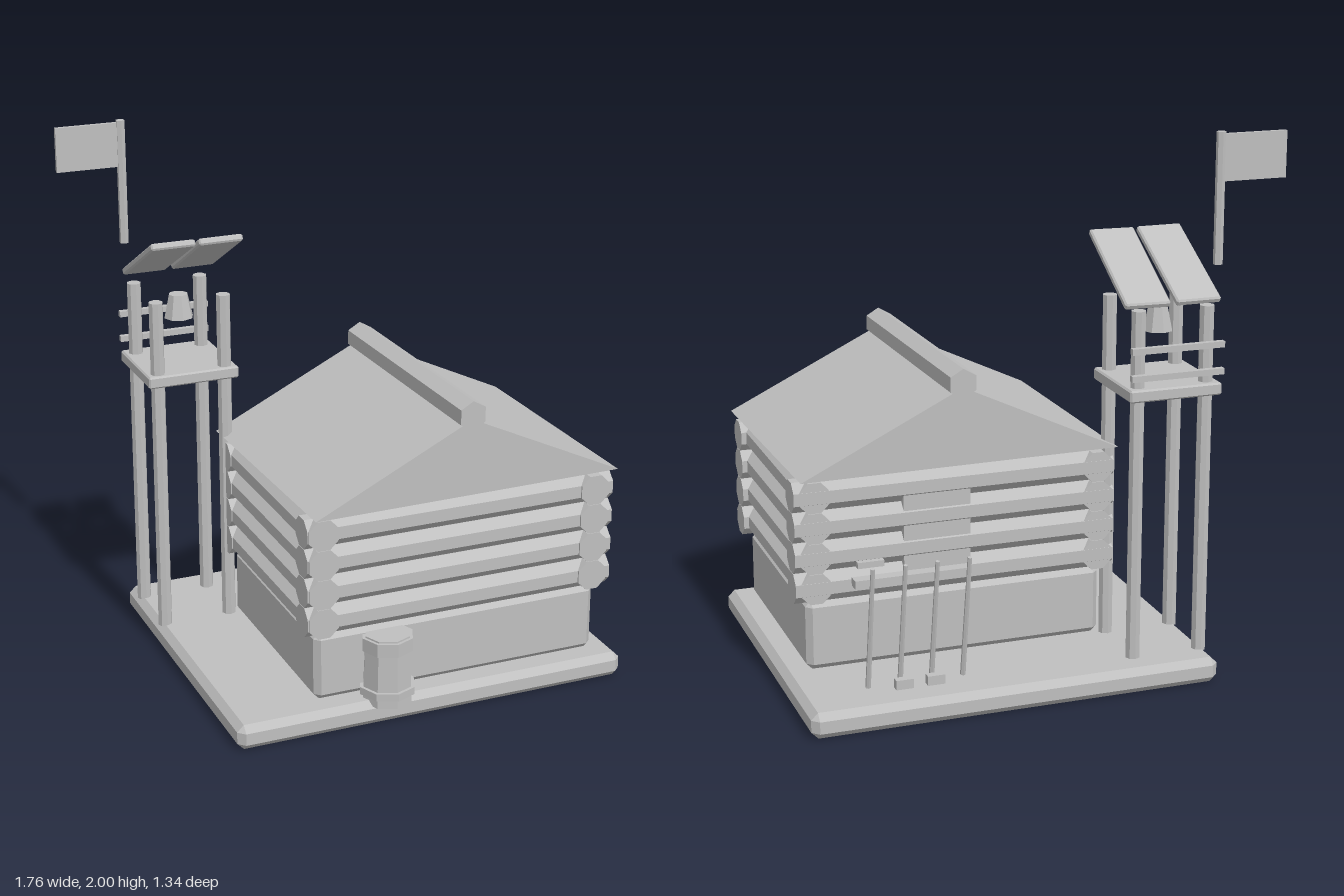
import * as THREE from 'three';
import { ConvexGeometry } from 'three/addons/geometries/ConvexGeometry.js';

const grey = new THREE.MeshStandardMaterial({ color: 0xbfbfbf });
grey.name = 'plain grey';

// Facetted normals for every part
function faceted(geometry) {
  const g = geometry.index ? geometry.toNonIndexed() : geometry;
  g.computeVertexNormals();
  return g;
}

function add(parent, name, geometry, x = 0, y = 0, z = 0) {
  const mesh = new THREE.Mesh(faceted(geometry), grey);
  mesh.name = name;
  mesh.position.set(x, y, z);
  parent.add(mesh);
  return mesh;
}

// Box with all edges cut off at 45 degrees
function chamferBox(w, h, d, c) {
  const points = [];
  for (const sx of [-1, 1]) for (const sy of [-1, 1]) for (const sz of [-1, 1]) {
    for (let axis = 0; axis < 3; axis++) {
      const half = [w / 2 - c, h / 2 - c, d / 2 - c];
      half[axis] += c;
      points.push(new THREE.Vector3(sx * half[0], sy * half[1], sz * half[2]));
    }
  }
  return new ConvexGeometry(points);
}

const box = (w, h, d) => new THREE.BoxGeometry(w, h, d);
const rod = (r0, r1, length, sides) => new THREE.CylinderGeometry(r0, r1, length, sides);

function group(parent, name) {
  const g = new THREE.Group();
  g.name = name;
  parent.add(g);
  return g;
}

function buildCabin(parent) {
  const cabin = group(parent, 'cabin');
  add(cabin, 'foundation', chamferBox(1.115, 0.26, 0.825, 0.022), 0.2325, 0.226, 0.1175);

  // Four courses of crossing octagonal logs
  for (let row = 0; row < 4; row++) {
    const y = 0.415 + row * 0.1125;
    for (const z of [0.503, -0.27]) {
      const log = rod(0.06, 0.06, 1.2, 8).rotateY(Math.PI / 8).rotateZ(Math.PI / 2);
      add(cabin, 'longLog', log, 0.235, y, z);
    }
    for (const x of [-0.305, 0.76]) {
      const log = rod(0.06, 0.06, 0.89, 8).rotateY(Math.PI / 8).rotateX(Math.PI / 2);
      add(cabin, 'sideLog', log, x, y, 0.12);
    }
  }
  add(cabin, 'backWindowPanel', box(0.25, 0.36, 0.04), 0.31, 0.57, -0.301);

  // Slightly twisted gable roof with its ridge beam
  const roof = group(cabin, 'roof');
  roof.position.set(0.235, 0, 0.115);
  roof.rotation.y = 0.023;
  const gable = new THREE.Shape([
    new THREE.Vector2(-0.597, 0.828),
    new THREE.Vector2(0.597, 0.828),
    new THREE.Vector2(0, 1.112),
  ]);
  add(roof, 'gableRoof', new THREE.ExtrudeGeometry(gable, { depth: 0.95, bevelEnabled: false }), 0, 0, -0.475);
  const ridge = rod(0.055, 0.055, 0.955, 6).rotateX(Math.PI / 2);
  add(roof, 'ridgeBeam', ridge, 0, 1.126, 0);
}

function buildTower(parent) {
  const tower = group(parent, 'watchtower');
  for (const x of [-0.615, -0.355]) for (const z of [-0.29, -0.55]) {
    add(tower, 'towerPost', rod(0.027, 0.027, 1.295, 8), x, 0.738, z);
  }
  add(tower, 'platform', chamferBox(0.35, 0.045, 0.345, 0.006), -0.485, 1.087, -0.425);
  for (const y of [1.155, 1.253]) {
    add(tower, 'backRail', box(0.35, 0.022, 0.022), -0.485, y, -0.6);
  }
  add(tower, 'bell', rod(0.036, 0.056, 0.09, 8), -0.485, 1.32, -0.42);

  // Two tilted roof slabs, the second a little askew
  for (const [x, width, twist] of [[-0.555, 0.168, 0], [-0.368, 0.168, 0.025]]) {
    const slab = add(tower, 'towerRoofSlab', chamferBox(width, 0.026, 0.415, 0.006), x, 1.511, -0.428);
    slab.rotation.set(-0.49, -twist, 0);
  }

  add(tower, 'flagPole', rod(0.017, 0.017, 0.465, 6), -0.637, 1.768, -0.58);
  add(tower, 'flag', box(0.235, 0.165, 0.016), -0.766, 1.91, -0.582);
}

function buildBarrel(parent) {
  const barrel = group(parent, 'barrel');
  barrel.position.set(-0.06, 0, 0.56);
  add(barrel, 'barrelBody', rod(0.085, 0.095, 0.26, 8), 0, 0.206, 0);
  for (const [y, r] of [[0.305, 0.097], [0.124, 0.105]]) {
    add(barrel, 'barrelHoop', rod(r, r, y > 0.2 ? 0.05 : 0.028, 8), 0, y, 0);
  }
}

function buildToolRack(parent) {
  const rack = group(parent, 'toolRack');
  add(rack, 'rackBar', box(0.42, 0.03, 0.045), 0.47, 0.498, -0.52);
  for (const x of [0.28, 0.397, 0.513, 0.63]) {
    const handle = add(rack, 'toolHandle', rod(0.008, 0.01, 0.475, 6), x, 0.334, -0.547);
    handle.rotation.x = -0.17;
  }
  for (const x of [0.397, 0.513]) {
    add(rack, 'toolHead', box(0.064, 0.035, 0.03), x, 0.118, -0.553);
  }
  add(rack, 'crossHandle', box(0.095, 0.022, 0.022), 0.63, 0.578, -0.557);
}

export function createModel() {
  const model = new THREE.Group();
  model.name = 'logCabinOutpost';
  add(model, 'base', chamferBox(1.52, 0.095, 1.285, 0.025), 0.115, 0.0475, -0.03);
  buildCabin(model);
  buildTower(model);
  buildBarrel(model);
  buildToolRack(model);
  return model;
}
